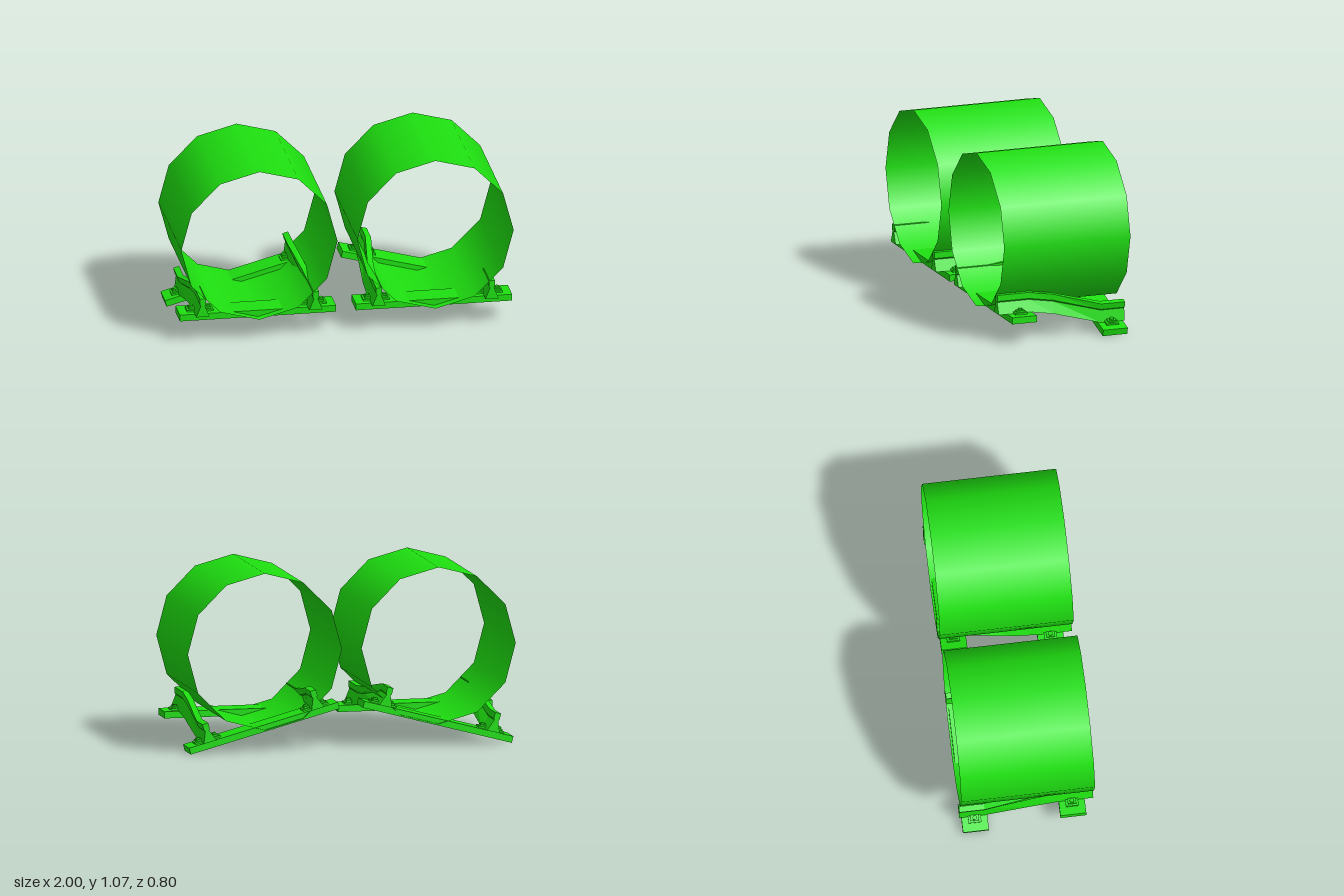
import * as THREE from 'three';

const R = 0.47, HALF_LENGTH = 0.4, TILT = Math.PI / 12;
const RAIL_X = 0.34, TIE_H = 0.04;

// Rail cross-section (counter-clockwise): flared foot, narrow web, small head
const half = [[0.04, 0], [0.012, 0.07], [0.018, 0.078], [0.018, 0.115]];
const PROFILE = [...half, ...half.map(([x, y]) => [-x, y]).reverse()];

// Track path: z, centre height, share of the full bank angle
const STATIONS = [[0.4, 0.15, 0], [0.2, 0.15, 0], [0.05, 0.147, 0.22], [-0.25, 0.14, 1], [-0.4, 0.14, 1]];

// Loft the rail profile along the banked track
function railGeometry(railX, side) {
  const rings = STATIONS.map(([z, cy, f]) => {
    const a = -side * TILT * f, c = Math.cos(a), s = Math.sin(a);
    return PROFILE.map(([px, py]) => {
      const x = railX + px, y = TIE_H / 2 + py;
      return [x * c - y * s, cy + x * s + y * c, z];
    });
  });
  const pos = [];
  const tri = (...pts) => pts.forEach((p) => pos.push(...p));
  const n = PROFILE.length;
  for (let i = 0; i < rings.length - 1; i++) {
    for (let j = 0; j < n; j++) {
      const k = (j + 1) % n;
      const a = rings[i][j], b = rings[i][k], c = rings[i + 1][k], d = rings[i + 1][j];
      tri(a, d, b);
      tri(b, d, c);
    }
  }
  const first = rings[0], last = rings[rings.length - 1];
  const faces = THREE.ShapeUtils.triangulateShape(PROFILE.map((p) => new THREE.Vector2(...p)), []);
  for (const [a, b, c] of faces) {
    tri(first[a], first[b], first[c]);
    tri(last[a], last[c], last[b]);
  }
  const g = new THREE.BufferGeometry();
  g.setAttribute('position', new THREE.Float32BufferAttribute(pos, 3));
  g.computeVertexNormals();
  return g;
}

export function createModel() {
  const model = new THREE.Group();
  const green = new THREE.MeshStandardMaterial({ color: 0x1ee010 });
  const shellGreen = green.clone();
  shellGreen.side = THREE.DoubleSide;

  const add = (parent, name, geometry, x = 0, y = 0, z = 0, material = green) => {
    const m = new THREE.Mesh(geometry, material);
    m.name = name;
    m.position.set(x, y, z);
    parent.add(m);
    return m;
  };

  // Rail fastener: stepped clip with a bolt
  const clip = (x, dir) => {
    const g = new THREE.Group();
    g.name = 'railClip';
    g.position.set(x, TIE_H / 2, 0);
    add(g, 'clipPlate', new THREE.BoxGeometry(0.045, 0.011, 0.076), 0, 0.0055, 0);
    add(g, 'clipStep', new THREE.BoxGeometry(0.034, 0.01, 0.05), -dir * 0.006, 0.016, 0);
    add(g, 'clipBolt', new THREE.CylinderGeometry(0.014, 0.014, 0.01, 6), -dir * 0.006, 0.026, 0);
    return g;
  };

  // Cross tie with a clip on both sides of each rail
  const tie = (name, y, z, angle) => {
    const g = new THREE.Group();
    g.name = name;
    g.position.set(0, y, z);
    g.rotation.z = angle;
    add(g, 'tieBeam', new THREE.BoxGeometry(0.94, TIE_H, 0.155));
    for (const rx of [-RAIL_X, RAIL_X]) {
      for (const dir of [-1, 1]) g.add(clip(rx + dir * 0.057, dir));
    }
    return g;
  };

  for (const side of [-1, 1]) {
    const section = new THREE.Group();
    section.name = side > 0 ? 'leftTrackSection' : 'rightTrackSection';
    section.position.x = side * 0.53;

    // Open twelve-sided tunnel
    const shell = new THREE.CylinderGeometry(R, R, 2 * HALF_LENGTH, 12, 1, true).rotateX(Math.PI / 2);
    add(section, 'tunnelShell', shell, 0, 0.6, 0, shellGreen);

    section.add(tie('frontTie', 0.15, 0.27, 0));
    section.add(tie('backTie', 0.14, -0.31, -side * TILT));

    for (const rx of [-RAIL_X, RAIL_X]) {
      add(section, rx * side > 0 ? 'outerRail' : 'innerRail', railGeometry(rx, side));
    }
    model.add(section);
  }
  return model;
}
